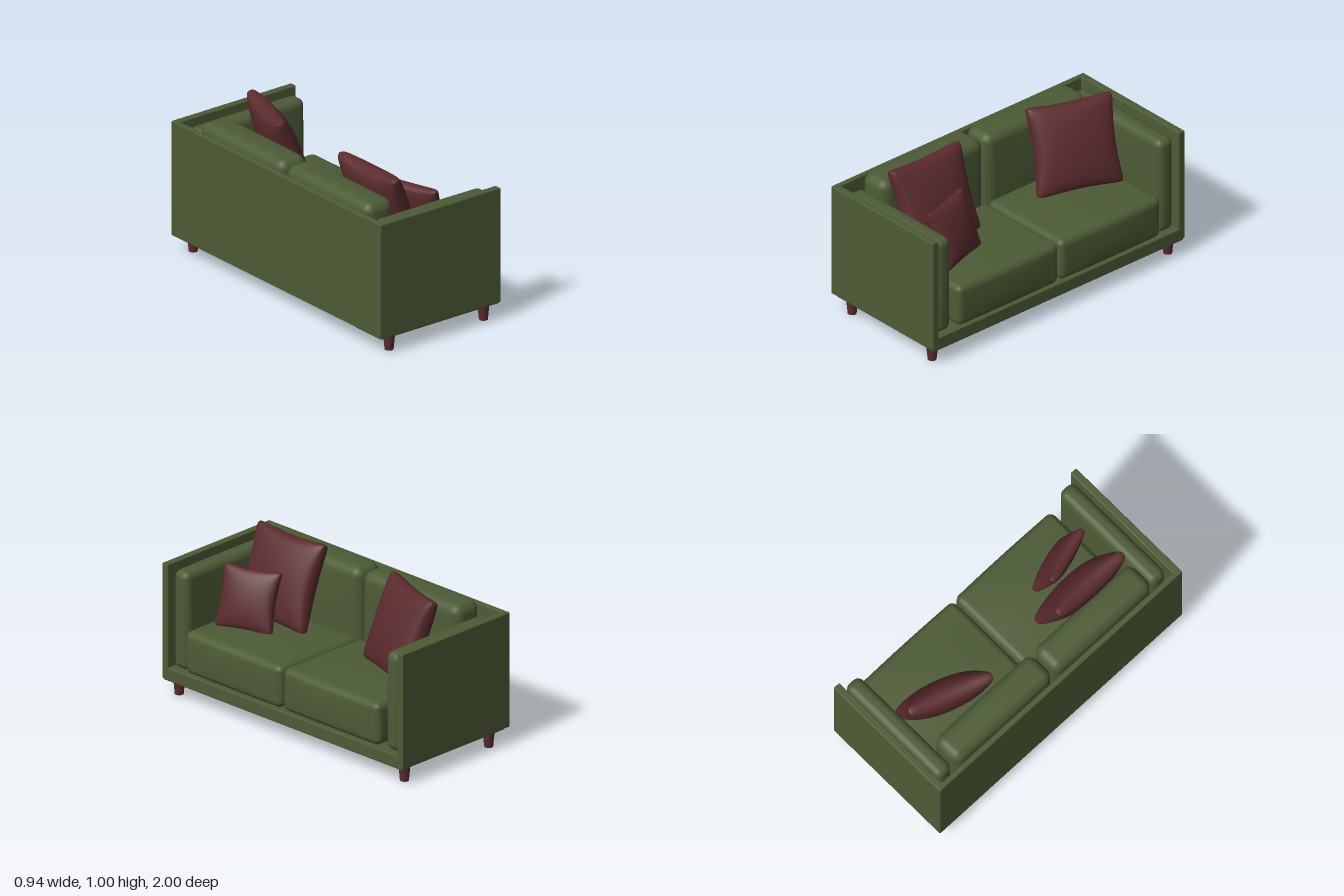
import * as THREE from 'three';
import { mergeVertices } from 'three/addons/utils/BufferGeometryUtils.js';
import { RoundedBoxGeometry } from 'three/addons/geometries/RoundedBoxGeometry.js';

const fabric = new THREE.MeshStandardMaterial({ color: 0x4d5b36 });
fabric.name = 'green fabric';
const maroon = new THREE.MeshStandardMaterial({ color: 0x5a2b2d });
maroon.name = 'dark red';

// Weld a deformed geometry and give it smooth normals
function smooth(geo) {
  geo.deleteAttribute('uv');
  geo.deleteAttribute('normal');
  const welded = mergeVertices(geo, 1e-5);
  welded.computeVertexNormals();
  return welded;
}

// Soft box with rounded edges; each face swells by bulge [x, y, z]
function cushionGeometry(size, r, bulge) {
  const geo = new THREE.BoxGeometry(2, 2, 2, 20, 20, 20);
  const pos = geo.attributes.position;
  const half = size.map((s, i) => s / 2 - bulge[i]);
  for (let i = 0; i < pos.count; i++) {
    const u = [pos.getX(i), pos.getY(i), pos.getZ(i)];
    const inner = [], dir = new THREE.Vector3();
    u.forEach((c, k) => {
      const a = Math.abs(c), s = Math.sign(c), flat = half[k] - r;
      inner[k] = s * Math.min(a / 0.6, 1) * flat;
      dir.setComponent(k, a > 0.6 ? s * Math.tan((a - 0.6) / 0.4 * Math.PI / 4) : 0);
    });
    dir.normalize().multiplyScalar(r);
    const p = inner.map((c, k) => c + dir.getComponent(k));
    const n = p.map((c, k) => c / half[k]);
    const q = p.map((c, k) => {
      const a = n[(k + 1) % 3], b = n[(k + 2) % 3];
      return c + n[k] * bulge[k] * (1 - a * a) * (1 - b * b);
    });
    pos.setXYZ(i, ...q);
  }
  return smooth(geo);
}

// Square scatter pillow with pinched sides and a full middle
function pillowGeometry(w, h, t) {
  const geo = new THREE.BoxGeometry(2, 2, 2, 24, 24, 2);
  const pos = geo.attributes.position;
  for (let i = 0; i < pos.count; i++) {
    const u = Math.sin(pos.getX(i) * Math.PI / 2), v = Math.sin(pos.getY(i) * Math.PI / 2);
    const corner = 1 - 0.04 * Math.pow(u * v, 10);
    const puff = 0.16 + 0.84 * Math.pow((1 - u * u) * (1 - v * v), 0.42);
    const s = pos.getZ(i);
    const rim = s === 0 ? 1 : 0.985;
    pos.setXYZ(i,
      w / 2 * u * corner * rim * (1 - 0.1 * (1 - v * v)),
      h / 2 * v * corner * rim * (1 - 0.07 * (1 - u * u)),
      s * t / 2 * puff);
  }
  return smooth(geo);
}

export function createModel() {
  const sofa = new THREE.Group();
  sofa.name = 'sofa';

  function add(name, geo, mat, x, y, z) {
    const mesh = new THREE.Mesh(geo, mat);
    mesh.name = name;
    mesh.position.set(x, y, z);
    sofa.add(mesh);
    return mesh;
  }
  // Panel given by its min and max corners
  function panel(name, x0, x1, y0, y1, z0, z1) {
    add(name, new RoundedBoxGeometry(x1 - x0, y1 - y0, z1 - z0, 2, 0.007), fabric,
      (x0 + x1) / 2, (y0 + y1) / 2, (z0 + z1) / 2);
  }

  // Frame
  panel('base', -0.43, 0.44, 0.1, 0.185, -0.99, 0.99);
  panel('backPanel', -0.47, -0.435, 0.11, 0.85, -0.998, 0.998);
  panel('leftArmPanel', -0.47, 0.44, 0.11, 0.85, -1, -0.953);
  panel('rightArmPanel', -0.47, 0.44, 0.11, 0.85, 0.953, 1);

  // Cushions and legs, mirrored about the middle of the sofa
  const seat = cushionGeometry([0.69, 0.31, 0.81], 0.04, [0.012, 0.02, 0.006]);
  const back = cushionGeometry([0.235, 0.72, 0.815], 0.06, [0.015, 0.006, 0.006]);
  const arm = cushionGeometry([0.815, 0.64, 0.135], 0.045, [0.004, 0.004, 0.008]);
  const leg = new THREE.CylinderGeometry(0.037, 0.027, 0.11, 20);
  for (const s of [-1, 1]) {
    add('seatCushion', seat, fabric, 0.12, 0.335, s * 0.405);
    add('backCushion', back, fabric, -0.315, 0.54, s * 0.41);
    add('armCushion', arm, fabric, 0.008, 0.5, s * 0.882);
    for (const x of [-0.355, 0.36]) add('leg', leg, maroon, x, 0.055, s * 0.935);
  }

  // Scatter pillows: width, height, thickness, centre, turn and lean in degrees
  const pillows = [
    ['largePillow', 0.57, 0.57, 0.2, -0.09, 0.735, 0.52, 90, 20],
    ['turnedPillow', 0.57, 0.57, 0.2, -0.02, 0.732, -0.53, 71, 20],
    ['smallPillow', 0.39, 0.39, 0.13, 0.145, 0.652, 0.57, 107, 20],
  ];
  for (const [name, w, h, t, x, y, z, turn, lean] of pillows) {
    const mesh = add(name, pillowGeometry(w, h, t), maroon, x, y, z);
    mesh.rotation.set(-THREE.MathUtils.degToRad(lean), THREE.MathUtils.degToRad(turn), 0, 'YXZ');
  }
  return sofa;
}
